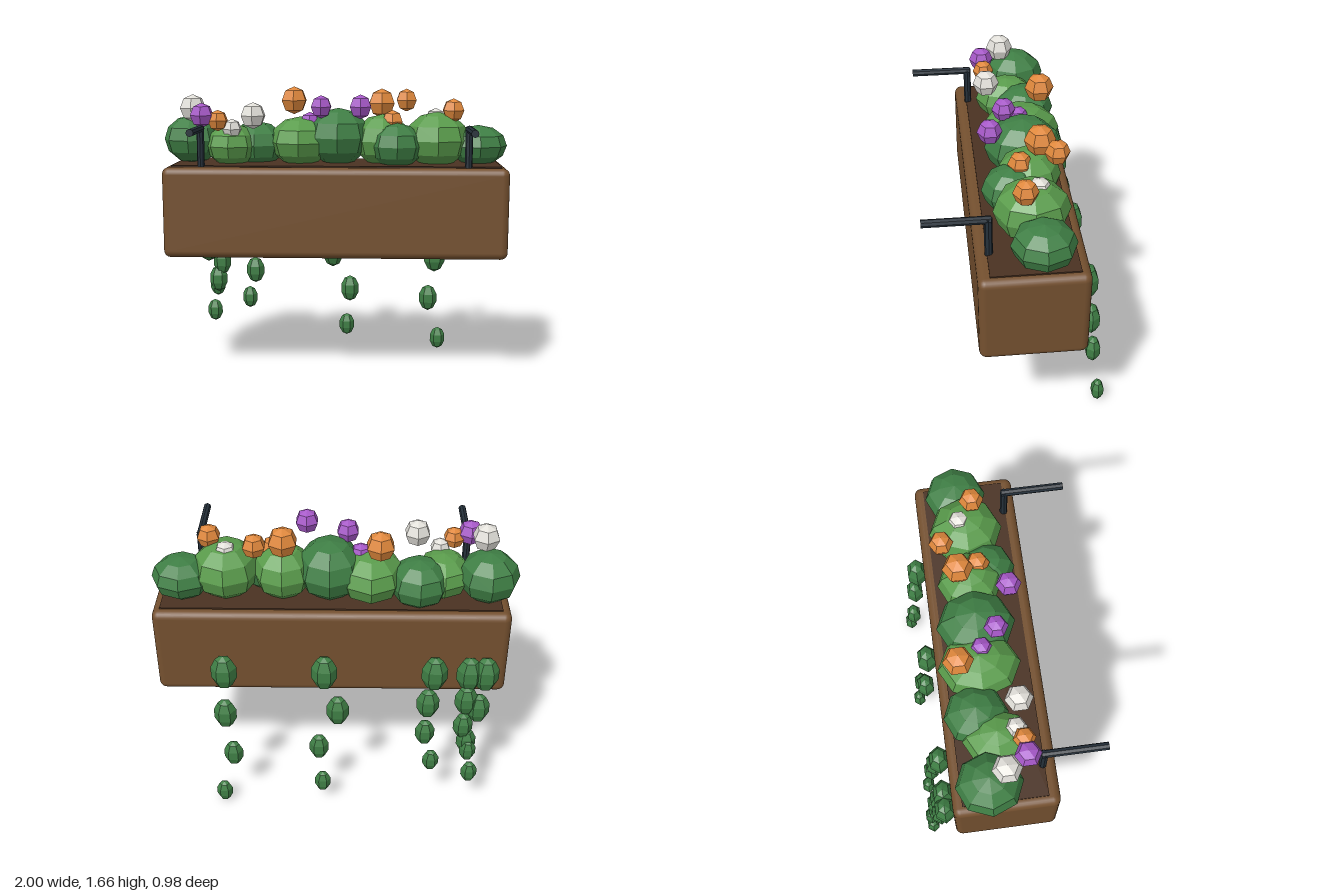
import * as THREE from 'three';
import { RoundedBoxGeometry } from 'three/addons/geometries/RoundedBoxGeometry.js';

const mat = (name, color, flat = true) => {
  const m = new THREE.MeshStandardMaterial({ color, flatShading: flat });
  m.name = name;
  return m;
};

export function createModel() {
  const root = new THREE.Group();
  root.name = 'flowerBox';

  const wood = mat('wood brown', 0x74502f, false);
  const soilMat = mat('soil brown', 0x4a3222);
  const metal = mat('dark metal', 0x25303a);
  const darkGreen = mat('dark green', 0x3f7f45);
  const lightGreen = mat('light green', 0x5a9c4c);
  const orange = mat('orange', 0xe0883c);
  const purple = mat('purple', 0xa658c8);
  const white = mat('white', 0xe2e0da);

  const add = (parent, name, geo, material, pos, scale = [1, 1, 1]) => {
    const mesh = new THREE.Mesh(geo, material);
    mesh.name = name;
    mesh.position.set(...pos);
    mesh.scale.set(...scale);
    parent.add(mesh);
    return mesh;
  };
  const group = (name) => {
    const g = new THREE.Group();
    g.name = name;
    root.add(g);
    return g;
  };

  // Wooden planter and soil
  add(root, 'planter', new RoundedBoxGeometry(1.93, 0.51, 0.56, 3, 0.04), wood, [0.015, 0.973, -0.04]);
  add(root, 'soil', new THREE.BoxGeometry(1.84, 0.08, 0.45), soilMat, [0.018, 1.195, -0.045]);

  // Hanging brackets: upright post with an arm reaching forward
  const brackets = group('brackets');
  for (const x of [-0.735, 0.755]) {
    add(brackets, 'bracketPost', new THREE.CylinderGeometry(0.021, 0.021, 0.25, 8), metal, [x, 1.325, 0.17]);
    add(brackets, 'bracketArm', new THREE.CylinderGeometry(0.021, 0.021, 0.34, 8).rotateX(Math.PI / 2),
      metal, [x, 1.44, 0.325]);
  }

  // Bushes: centre x, y, z, then radii x, y, z
  const bushes = group('bushes');
  const bushGeo = new THREE.SphereGeometry(1, 8, 6);
  [
    [-0.83, 1.36, -0.12, 0.168, 0.14, 0.175],
    [-0.59, 1.33, -0.05, 0.15, 0.125, 0.18],
    [-0.455, 1.33, -0.14, 0.165, 0.135, 0.17],
    [-0.195, 1.35, -0.09, 0.18, 0.145, 0.22],
    [0.025, 1.38, -0.08, 0.185, 0.165, 0.21],
    [0.28, 1.36, -0.08, 0.165, 0.15, 0.175],
    [0.36, 1.335, 0.015, 0.15, 0.13, 0.16],
    [0.59, 1.365, -0.065, 0.185, 0.16, 0.2],
    [0.83, 1.33, -0.095, 0.167, 0.118, 0.167],
  ].forEach(([x, y, z, ...r], i) =>
    add(bushes, 'bush', bushGeo, i % 2 ? lightGreen : darkGreen, [x, y, z], r));
  // The row breaks its alternation around the large middle bush
  const tones = [darkGreen, lightGreen, darkGreen, lightGreen, darkGreen, lightGreen, darkGreen, lightGreen, darkGreen];
  bushes.children.forEach((b, i) => { b.material = tones[i]; });

  // Flower heads: colour, x, y, z, radius
  const flowers = group('flowers');
  const flowerGeo = new THREE.SphereGeometry(1, 6, 4).rotateY(Math.PI / 6);
  [
    [white, -0.81, 1.545, -0.03, 0.078],
    [purple, -0.74, 1.51, 0.085, 0.07],
    [orange, -0.65, 1.48, 0.08, 0.06],
    [white, -0.575, 1.43, 0.05, 0.058],
    [white, -0.45, 1.508, 0.08, 0.075],
    [orange, -0.24, 1.583, -0.2, 0.081],
    [purple, -0.14, 1.46, -0.07, 0.062],
    [purple, -0.07, 1.555, 0.015, 0.065],
    [purple, 0.155, 1.56, 0.11, 0.068],
    [orange, 0.275, 1.57, -0.14, 0.084],
    [orange, 0.335, 1.47, -0.03, 0.066],
    [orange, 0.42, 1.585, -0.21, 0.066],
    [white, 0.585, 1.48, -0.1, 0.064],
    [orange, 0.68, 1.535, -0.02, 0.067],
  ].forEach(([m, x, y, z, r]) => add(flowers, 'flower', flowerGeo, m, [x, y, z], [r, r, r]));

  // Trailing vines behind the planter: leaf x positions, vertical spacing
  const vines = group('vines');
  const leafGeo = new THREE.SphereGeometry(1, 6, 5);
  [
    [[0.605, 0.61, 0.575, 0.64], 0.268],
    [[0.055, -0.02, 0.085, 0.065], 0.24],
    [[-0.55, -0.52, -0.51, -0.55], 0.183],
    [[-0.74, -0.73, -0.72, -0.755], 0.157],
    [[-0.83, -0.8, -0.745, -0.775], 0.212],
  ].forEach(([xs, step]) => xs.forEach((x, i) => {
    const k = 1 - 0.12 * i;
    add(vines, 'leaf', leafGeo, darkGreen, [x, 0.88 - step * i, -0.367 - 0.03 * i],
      [0.075 * k, 0.107 * k, 0.062 * k]);
  }));

  return root;
}
